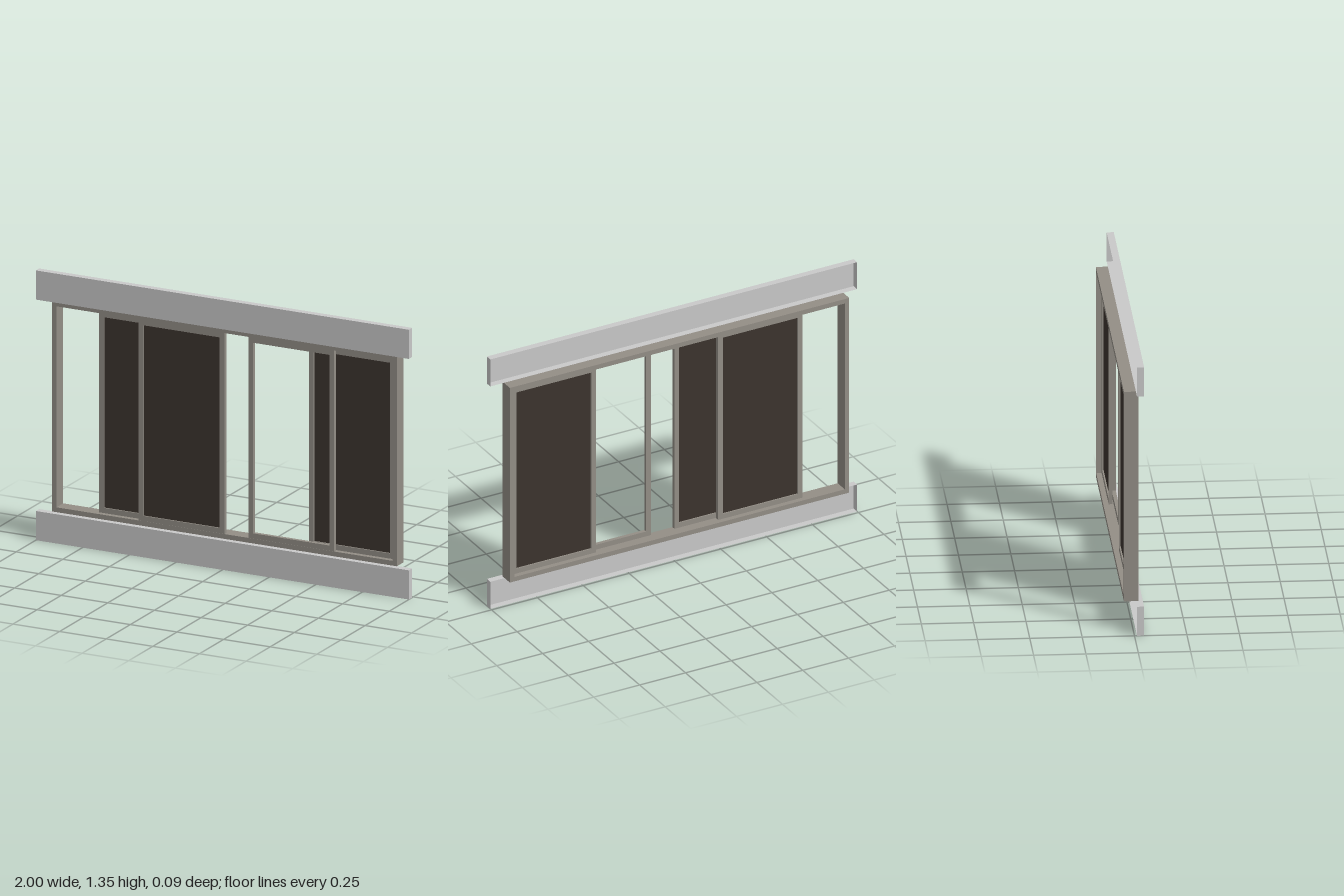
import * as THREE from 'three';

export function createModel() {
  const root = new THREE.Group();
  const frameMat = new THREE.MeshStandardMaterial({ color: 0x938e86 });
  frameMat.name = 'warm grey frame';
  const panelMat = new THREE.MeshStandardMaterial({ color: 0x3c342e });
  panelMat.name = 'dark brown panel';
  const trimMat = new THREE.MeshStandardMaterial({ color: 0xc9c9c9, side: THREE.DoubleSide });
  trimMat.name = 'light grey trim';

  function add(name, geometry, material, x, y, z, parent = root) {
    const mesh = new THREE.Mesh(geometry, material);
    mesh.name = name;
    mesh.position.set(x, y, z);
    parent.add(mesh);
    return mesh;
  }

  // Rectangular ring centred on the origin, starting at z = 0
  function ring(w, h, border, depth) {
    const rect = (T, a, b) => {
      const s = new T();
      s.moveTo(-a, -b);
      s.lineTo(a, -b);
      s.lineTo(a, b);
      s.lineTo(-a, b);
      s.closePath();
      return s;
    };
    const shape = rect(THREE.Shape, w / 2, h / 2);
    shape.holes.push(rect(THREE.Path, w / 2 - border, h / 2 - border));
    return new THREE.ExtrudeGeometry(shape, { depth, bevelEnabled: false });
  }

  // Trim boards: shallow trays open at the back
  function trimBoard(name, y) {
    const geo = new THREE.BoxGeometry(2, 0.146, 0.034);
    geo.setIndex(Array.from(geo.index.array).slice(0, 30)); // drop the back face
    geo.clearGroups();
    add(name, geo, trimMat, 0, y, 0.029);
  }
  trimBoard('lowerTrim', 0.073);
  trimBoard('upperTrim', 1.277);

  // Outer frame
  const midY = 0.676;
  add('outerFrame', ring(1.85, 1.054, 0.024, 0.07), frameMat, 0, midY, -0.045);

  // Sliding sashes on a front and a rear track
  const sashW = 0.46, sashH = 1.006, border = 0.026, depth = 0.019;
  function sash(name, x0, z0, filled) {
    const group = new THREE.Group();
    group.name = name;
    group.position.set(x0 + sashW / 2, midY, z0);
    root.add(group);
    add('sashFrame', ring(sashW, sashH, border, depth), frameMat, 0, 0, 0, group);
    if (filled) {
      const panel = new THREE.BoxGeometry(sashW - 2 * border, sashH - 2 * border, 0.005);
      add('sashPanel', panel, panelMat, 0, 0, depth / 2, group);
    }
  }
  sash('leftFrontSash', -0.46, 0.005, true);
  sash('leftRearSash', -0.685, -0.019, true);
  sash('rightFrontSash', 0.128, 0.005, false);
  sash('rightRearSash', 0.44, -0.019, true);

  return root;
}
